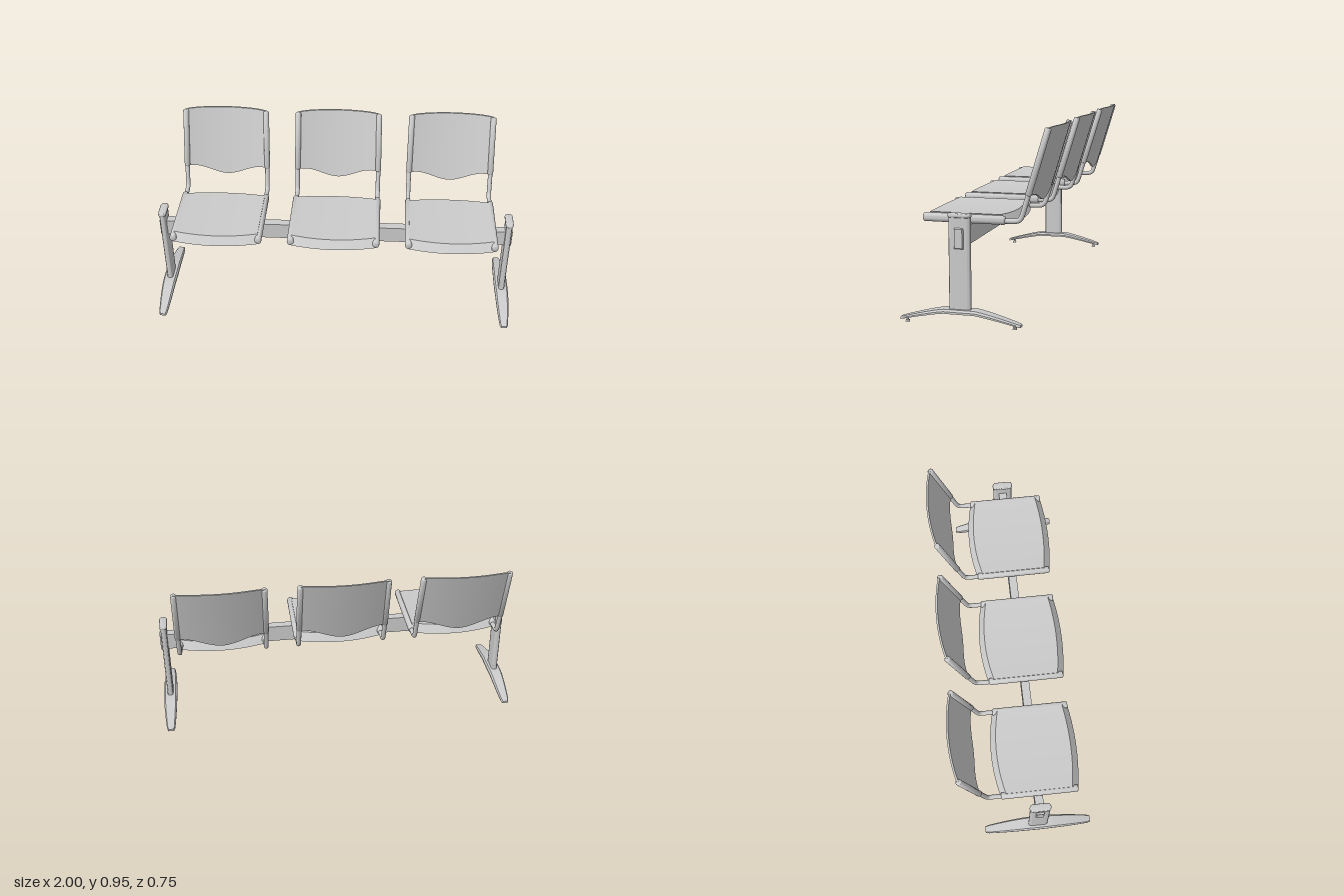
import * as THREE from 'three';
import { toCreasedNormals } from 'three/addons/utils/BufferGeometryUtils.js';

const material = new THREE.MeshStandardMaterial({ color: 0xcccccc });
const MID_Z = 0.072; // depth of the beam and legs

function add(parent, name, geometry, x = 0, y = 0, z = 0) {
  const mesh = new THREE.Mesh(geometry, material);
  mesh.name = name;
  mesh.position.set(x, y, z);
  parent.add(mesh);
  return mesh;
}

// Subdivided unit box whose vertices (-1..1 on each axis) are moved by a rule
function shapedBox(sx, sy, sz, rule, crease = 0.6) {
  const geometry = new THREE.BoxGeometry(2, 2, 2, sx, sy, sz);
  const p = geometry.attributes.position;
  for (let i = 0; i < p.count; i++) p.setXYZ(i, ...rule(p.getX(i), p.getY(i), p.getZ(i)));
  return toCreasedNormals(geometry, crease);
}

// Upright prism with two straight sides and round ends
function stadium(width, length, height, bevel) {
  const r = width / 2 - bevel, h = length / 2 - width / 2;
  const shape = new THREE.Shape();
  shape.absarc(0, h, r, 0, Math.PI);
  shape.absarc(0, -h, r, Math.PI, Math.PI * 2);
  shape.closePath();
  const geometry = new THREE.ExtrudeGeometry(shape, {
    depth: height - 2 * bevel, curveSegments: 10, bevelEnabled: bevel > 0,
    bevelSize: bevel, bevelThickness: bevel, bevelSegments: 3,
  });
  geometry.translate(0, 0, bevel).rotateX(-Math.PI / 2);
  return toCreasedNormals(geometry, 0.7);
}

// Round bar between two points with softened ends
function roundBar(a, b, radius) {
  const length = a.distanceTo(b), e = 0.006;
  const profile = [[0, 0], [radius - e, 0], [radius - 0.002, 0.002], [radius, e],
    [radius, length - e], [radius - 0.002, length - 0.002], [radius - e, length], [0, length]]
    .map(([r, y]) => new THREE.Vector2(r, y));
  const geometry = new THREE.LatheGeometry(profile, 18);
  const dir = b.clone().sub(a).normalize();
  geometry.applyQuaternion(new THREE.Quaternion().setFromUnitVectors(new THREE.Vector3(0, 1, 0), dir));
  geometry.translate(a.x, a.y, a.z);
  return toCreasedNormals(geometry, 0.7);
}

// Dished seat with bowed, sloping front and back edges
function seatGeometry() {
  return shapedBox(20, 1, 8, (u, v, w) => {
    const bow = 1 - u * u, top = v > 0;
    const front = 0.288 + 0.02 * bow - (top ? 0.034 : 0);
    const back = -0.13 - 0.028 * bow + (top ? 0.03 : 0);
    const y = top ? 0.531 - 0.008 * bow : 0.487 - 0.007 * bow;
    return [u * 0.228, y, THREE.MathUtils.lerp(back, front, (w + 1) / 2)];
  });
}

// Leaning backrest, curved around the sitter, with a drooping lower edge
function backGeometry() {
  return shapedBox(28, 8, 1, (u, v, w) => {
    const droop = THREE.MathUtils.smoothstep(Math.abs(u), 0, 0.85);
    const bottom = 0.578 + 0.052 * droop;
    const top = 0.955 - 0.006 * u ** 8;
    const y = THREE.MathUtils.lerp(bottom, top, (v + 1) / 2);
    const z = -0.24 - (y - 0.63) * 0.3 - 0.029 * (1 - u * u);
    return [u * (0.238 - 0.012 * (y - 0.63)), y, z + w * 0.005];
  });
}

function createChair() {
  const chair = new THREE.Group();
  chair.name = 'chair';
  add(chair, 'seat', seatGeometry());
  add(chair, 'backrest', backGeometry());
  for (const side of [-1, 1]) {
    const x = side * 0.232;
    const at = (y, z, px = x) => new THREE.Vector3(px, y, z);
    const rail = add(chair, 'seatSideRail', roundBar(at(0.505, -0.127, 0), at(0.505, 0.285, 0), 0.022), x);
    rail.scale.x = 0.85;
    add(chair, 'backSideRail', roundBar(at(0.628, -0.239), at(0.949, -0.335, side * 0.228), 0.016));
    // Bent tube joining the seat to the backrest
    const path = new THREE.CurvePath();
    path.add(new THREE.LineCurve3(at(0.501, -0.1), at(0.503, -0.17)));
    path.add(new THREE.CubicBezierCurve3(at(0.503, -0.17), at(0.504, -0.2), at(0.515, -0.205), at(0.54, -0.213)));
    path.add(new THREE.LineCurve3(at(0.54, -0.213), at(0.66, -0.249)));
    add(chair, 'bentTube', new THREE.TubeGeometry(path, 28, 0.0125, 14));
  }
  return chair;
}

// Arched foot, widest in the middle and tapering to both ends
function footGeometry() {
  return shapedBox(2, 2, 32, (u, v, w) => {
    const z = w * 0.302;
    const t = Math.max(0, (Math.abs(z) - 0.075) / 0.227);
    const drop = t ** 1.2;
    const half = (0.038 - 0.017 * w * w - (Math.abs(w) === 1 ? 0.004 : 0)) * (v > 0 ? 0.78 : 1);
    const y = THREE.MathUtils.lerp(0.062 - 0.048 * drop, 0.082 - 0.056 * drop, (v + 1) / 2);
    return [u * half, y, z];
  });
}

function createLeg() {
  const leg = new THREE.Group();
  leg.name = 'leg';
  add(leg, 'column', stadium(0.032, 0.11, 0.46, 0), 0, 0.075);
  add(leg, 'columnCap', stadium(0.044, 0.116, 0.02, 0.007), 0, 0.526);
  add(leg, 'foot', footGeometry());
  // Levelling pads
  for (const z of [-0.27, 0.271]) {
    add(leg, 'padStem', new THREE.CylinderGeometry(0.006, 0.006, 0.025, 12), 0, 0.0165, z);
    add(leg, 'pad', new THREE.CylinderGeometry(0.009, 0.011, 0.009, 16), 0, 0.0045, z);
  }
  return leg;
}

export function createModel() {
  const model = new THREE.Group();
  model.name = 'beamSeating';

  add(model, 'beam', new THREE.BoxGeometry(1.94, 0.093, 0.046), 0, 0.429, MID_Z);

  for (const side of [-1, 1]) {
    const leg = createLeg();
    leg.position.set(side * 0.962, 0, MID_Z);
    model.add(leg);
    // Bevelled plug closing the end of the beam
    const plug = shapedBox(1, 1, 1, (u, v, w) => {
      const inset = u > 0 ? 0.007 : 0;
      return [u * 0.007, v * (0.053 - inset), w * (0.026 - inset)];
    }, 0.1);
    add(model, 'beamPlug', plug, side * 0.98, 0.427, MID_Z).rotation.y = side > 0 ? 0 : Math.PI;
  }

  for (const x of [-0.64, 0, 0.64]) {
    const chair = createChair();
    chair.position.x = x;
    model.add(chair);
  }
  return model;
}
